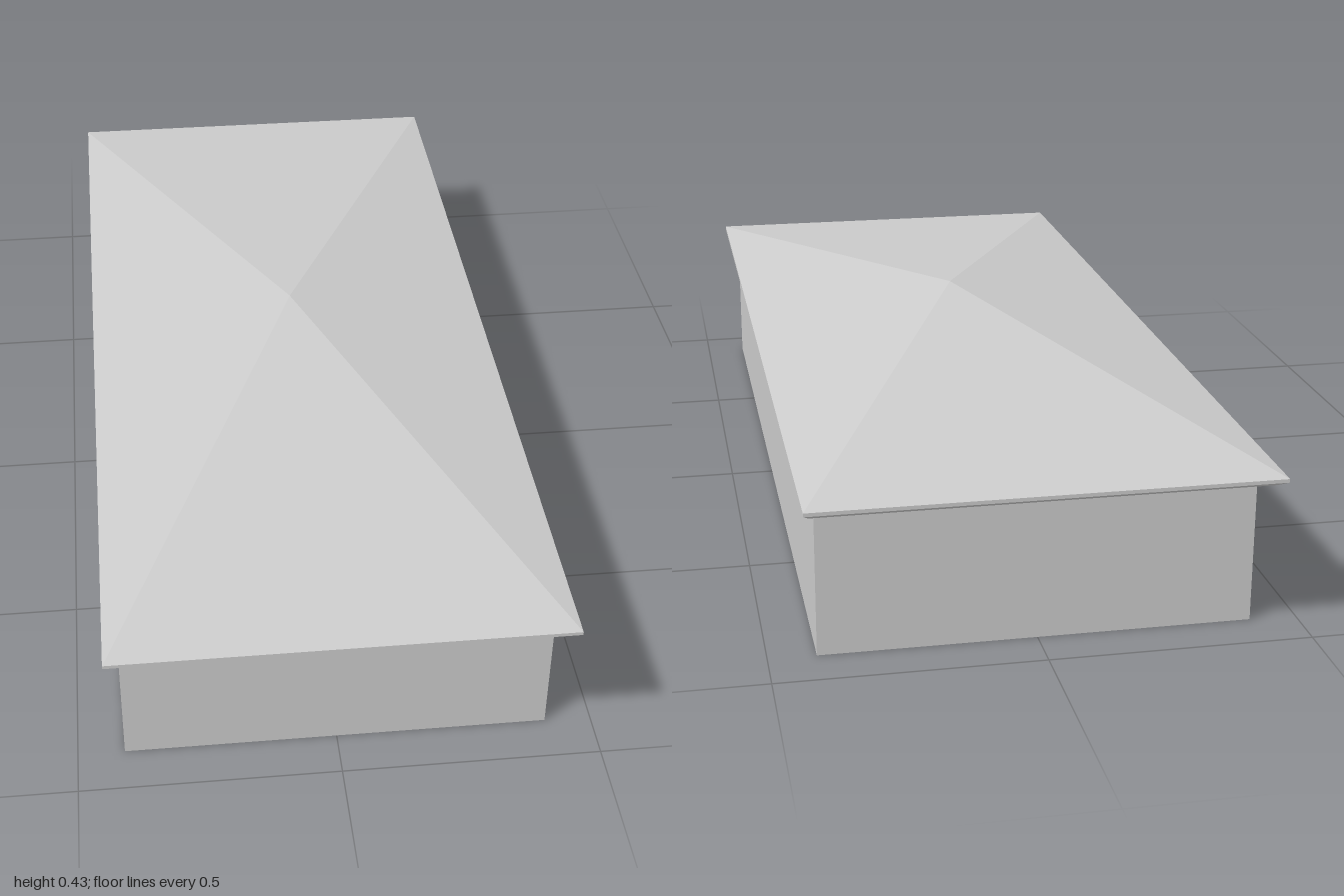
import * as THREE from 'three';

const HALF_WIDTH = 0.437; // roof half width in x; half length in z is 1

export function createModel() {
  const group = new THREE.Group();
  const material = new THREE.MeshStandardMaterial({ color: 0xcccccc, flatShading: true });

  // Four-sided solid swept from a profile of [half size, height] pairs
  const squareLathe = (profile) => {
    const points = profile.map(([r, y]) => new THREE.Vector2(r * Math.SQRT2, y));
    const geometry = new THREE.LatheGeometry(points, 4, Math.PI / 4).toNonIndexed();
    geometry.scale(HALF_WIDTH, 1, 1);
    geometry.computeVertexNormals();
    return geometry;
  };

  // Plain rectangular body
  const body = new THREE.Mesh(new THREE.BoxGeometry(0.82, 0.312, 1.816), material);
  body.name = 'body';
  body.position.y = 0.156;
  group.add(body);

  // Recessed soffit, bevelled eave rim and thin fascia
  const eaves = new THREE.Mesh(squareLathe([
    [0, 0.311], [0.955, 0.311], [0.955, 0.298], [0.972, 0.298], [1, 0.313], [1, 0.32],
  ]), material);
  eaves.name = 'eaves';
  group.add(eaves);

  // Shallow pyramid roof
  const roof = new THREE.Mesh(squareLathe([[1, 0.32], [0, 0.427]]), material);
  roof.name = 'roof';
  group.add(roof);

  return group;
}
